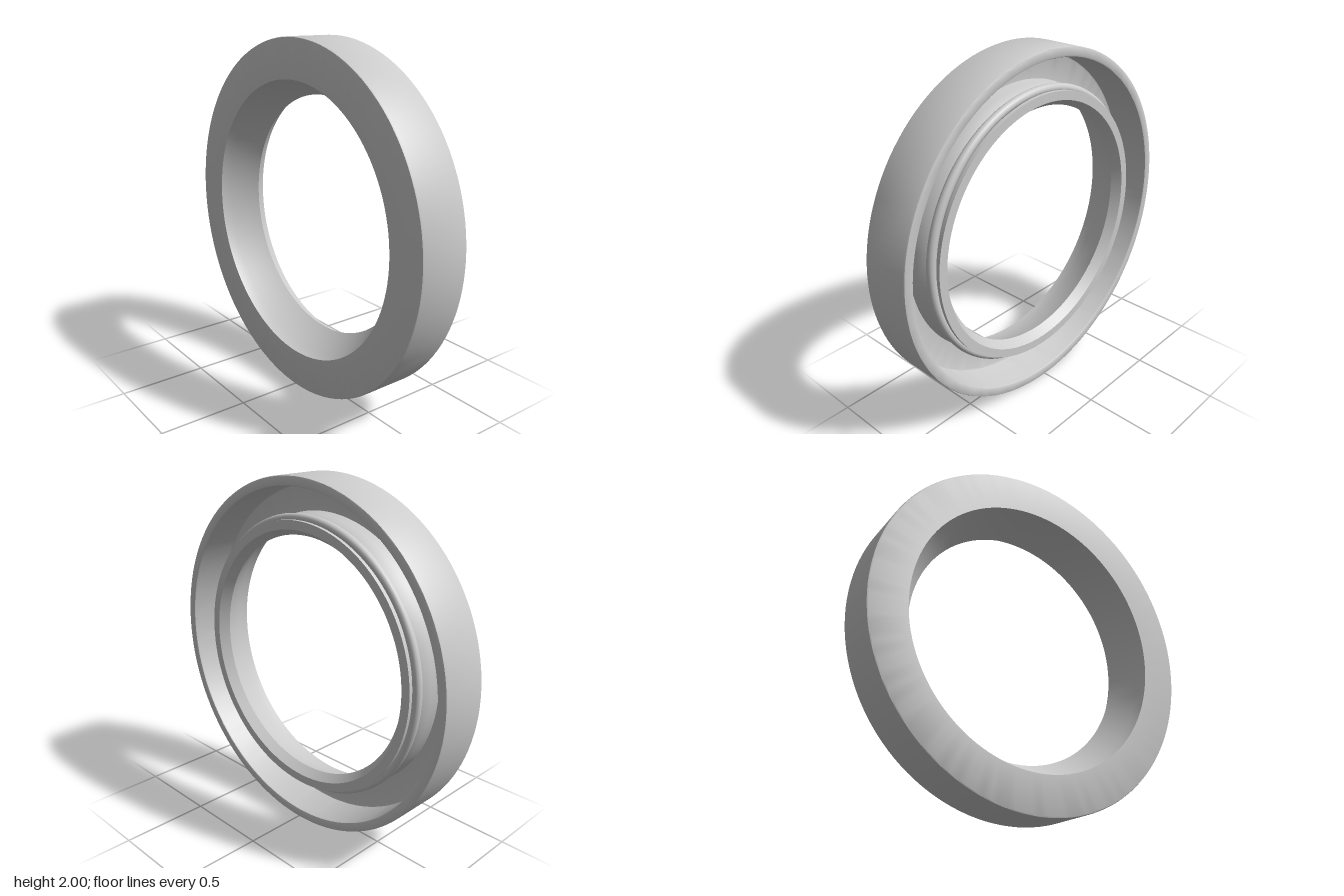
import * as THREE from 'three';
import { toCreasedNormals } from 'three/addons/utils/BufferGeometryUtils.js';

const SEGMENTS = 128;
const material = new THREE.MeshStandardMaterial({ color: 0xcccccc });

// Closed ring turned from [radius, axial position] points
function ring(name, profile) {
  const points = [...profile, profile[0]].map(([r, a]) => new THREE.Vector2(r, a));
  const geometry = toCreasedNormals(new THREE.LatheGeometry(points, SEGMENTS), 0.6);
  const mesh = new THREE.Mesh(geometry, material);
  mesh.name = name;
  return mesh;
}

export function createModel() {
  const seal = new THREE.Group();
  seal.name = 'shaftSeal';

  // Outer case, web and sealing lip as one continuous section
  seal.add(ring('sealBody', [
    // outer wall with softened edges
    [0.99, -0.145], [0.997, -0.142], [1, -0.135],
    [1, 0.135], [0.997, 0.142], [0.99, 0.145],
    // open rim and channel between case and lip
    [0.955, 0.145], [0.948, 0.142], [0.945, 0.135],
    [0.945, -0.07], [0.942, -0.077], [0.935, -0.08],
    [0.795, -0.08],
    // neck of the lip and groove for the spring
    [0.785, -0.03], [0.772, 0.03], [0.758, 0.045],
    [0.752, 0.07], [0.758, 0.095], [0.77, 0.105],
    // lip end face, sealing edge and tapered bore
    [0.77, 0.125], [0.72, 0.125], [0.685, 0.07],
    [0.77, -0.08], [0.78, -0.145],
  ]));

  // Spring seated around the lip
  const spring = new THREE.Mesh(new THREE.TorusGeometry(0.775, 0.025, 16, SEGMENTS), material);
  spring.name = 'garterSpring';
  spring.rotation.x = Math.PI / 2;
  spring.position.y = 0.07;
  seal.add(spring);

  // Turn the axis onto x, open side towards +x
  seal.rotation.z = -Math.PI / 2;
  seal.position.y = 1;

  const model = new THREE.Group();
  model.add(seal);
  return model;
}
